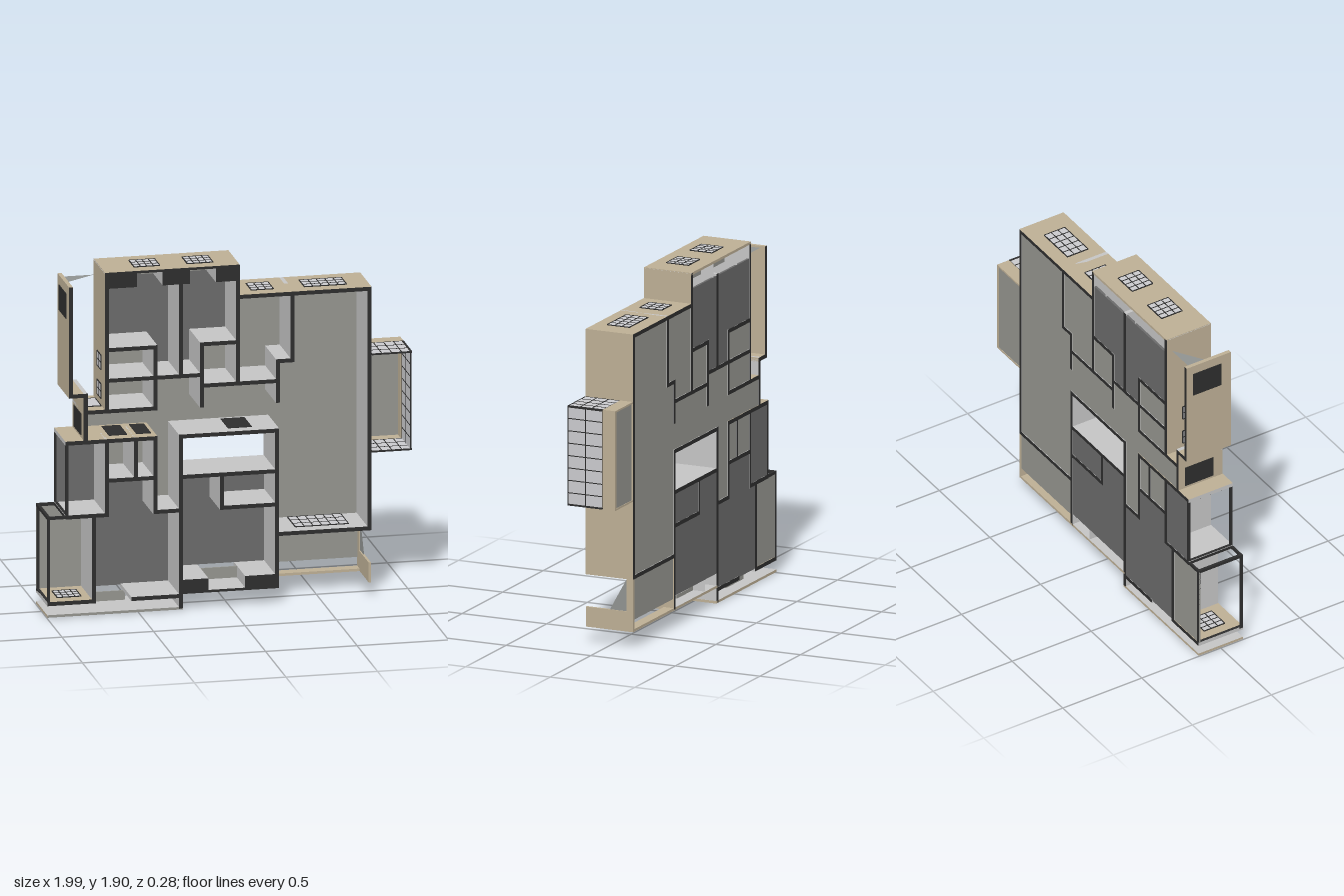
import * as THREE from 'three';

const mat = (name, color, extra = {}) => Object.assign(new THREE.MeshStandardMaterial({ color, ...extra }), { name });

export function createModel() {
  const root = new THREE.Group();
  const BEIGE = mat('beige facade', 0xbcae94);
  const INNER = mat('pale inner wall', 0xc4c4c4);
  const CAP = mat('dark cut edge', 0x2d2d2d);
  const LIGHT = mat('light floor', 0x94948e);
  const DARK = mat('dark floor', 0x6a6a6a);
  const GLASS = mat('window glass', 0xc9c9cc);
  const PANEL = mat('grey panel', 0x8f9290, { side: THREE.DoubleSide });
  const B = -0.14, T = 0.14; // back and front of the slice

  // Box from limits; mats = one material or [+x,-x,+y,-y,+z,-z], null omits a face
  function box(name, x0, x1, y0, y1, z0, z1, mats) {
    const g = new THREE.BoxGeometry(x1 - x0, y1 - y0, z1 - z0);
    g.translate((x0 + x1) / 2, (y0 + y1) / 2, (z0 + z1) / 2);
    let used = mats;
    if (Array.isArray(mats)) {
      const all = Array.from(g.index.array), keep = [];
      used = mats.filter(Boolean);
      g.clearGroups();
      mats.forEach((m, i) => {
        if (!m) return;
        g.addGroup(keep.length, 6, keep.length / 6);
        keep.push(...all.slice(i * 6, i * 6 + 6));
      });
      g.setIndex(keep);
    }
    const mesh = new THREE.Mesh(g, used);
    mesh.name = name;
    root.add(mesh);
  }

  // Wall run from (x, y): each step is the next x or y in turn, first along dir.
  // out lists the sides finished as facade: r, l, u, d
  const h = 0.011;
  function walls(out, dir, x, y, ...steps) {
    const [r, l, u, d] = [...'rlud'].map(k => (out.includes(k) ? BEIGE : INNER));
    let across = dir === 'h';
    for (const s of steps) {
      const nx = across ? s : x, ny = across ? y : s;
      box('wall', Math.min(x, nx) - h, Math.max(x, nx) + h, Math.min(y, ny) - h, Math.max(y, ny) + h,
        B, T, [r, l, u, d, CAP, CAP]);
      [x, y] = [nx, ny];
      across = !across;
    }
  }

  // Slab standing on a wall plane: axis 'x' spans y, axis 'y' spans x
  function slab(name, axis, p, t, u0, u1, z0, z1, m) {
    if (axis === 'x') box(name, p - t, p + t, u0, u1, z0, z1, m);
    else box(name, u0, u1, p - t, p + t, z0, z1, m);
  }
  function windowPane(axis, p, u0, u1, z0, z1, nu, nz) {
    slab('windowGlass', axis, p, 0.003, u0, u1, z0, z1, GLASS);
    const b = 0.0025;
    for (let i = 0; i <= nu; i++) {
      const u = u0 + (u1 - u0) * i / nu;
      slab('windowBar', axis, p, 0.0045, u - b, u + b, z0, z1, CAP);
    }
    for (let i = 0; i <= nz; i++) {
      const z = z0 + (z1 - z0) * i / nz;
      slab('windowBar', axis, p, 0.0045, u0, u1, z - b, z + b, CAP);
    }
  }

  // Light floors
  const lightFloor = (x0, x1, y0, y1) => box('lightFloor', x0, x1, y0, y1, -0.137, -0.129, LIGHT);
  lightFloor(0.26, 0.76, 0.39, 1.72);
  lightFloor(0.04, 0.26, 1.24, 1.72);
  lightFloor(-0.67, 0.26, 1.13, 1.47);
  lightFloor(-0.79, 0.26, 0.965, 1.13);
  lightFloor(-0.67, -0.27, 0.555, 0.965);
  lightFloor(-1, -0.745, 0.085, 0.555);
  lightFloor(0.27, 0.755, 0.155, 0.38);
  lightFloor(0.78, 0.985, 0.815, 1.355);

  // Dark floors, laid over the light ones
  const darkFloor = (x0, x1, y0, y1) => box('darkFloor', x0, x1, y0, y1, -0.139, -0.126, DARK);
  darkFloor(-0.67, 0.04, 1.47, 1.81);
  darkFloor(-0.41, -0.16, 1.3, 1.47);
  darkFloor(-0.89, -0.675, 0.555, 0.965);
  darkFloor(-0.745, -0.41, 0.085, 0.745);
  darkFloor(-0.41, -0.27, 0.085, 0.555);
  darkFloor(-0.27, 0.26, 0.17, 0.74);

  // Upper bedrooms
  walls('l', 'v', -0.675, 1.13, 1.885);
  walls('r', 'v', 0.042, 1.72, 1.885);
  walls('', 'v', 0.042, 1.24, 1.72);
  walls('', 'v', -0.27, 1.31, 1.81);
  walls('', 'h', -0.67, 1.47, -0.41, 1.13, -0.67);
  walls('', 'h', -0.67, 1.3, -0.155);
  walls('', 'h', 0.04, 1.47, -0.155, 1.13);
  walls('', 'h', -0.155, 1.24, 0.26);
  // Terrace screen and entrance
  walls('lrud', 'v', -0.87, 1.82, 1.225, -0.79);
  walls('l', 'v', -0.79, 1.225, 0.965);
  walls('u', 'h', -0.79, 1.13, -0.675);
  // Large living room
  walls('ur', 'h', 0.042, 1.72, 0.76, 0.39);
  walls('dr', 'h', 0.27, 0.39, 0.76);
  walls('', 'v', 0.34, 1.72, 1.35, 0.26, 1.13);
  // Rooms round the open shaft
  walls('', 'v', -0.27, 0.018, 0.965, 0.255, 0.39);
  walls('r', 'v', 0.255, 0.39, 0.103);
  walls('', 'h', -0.27, 0.74, 0.255);
  walls('', 'v', -0.045, 0.74, 0.555, 0.255);
  // Lower left rooms
  walls('u', 'h', -0.89, 0.965, -0.41);
  walls('', 'h', -0.89, 0.555, -0.675, 0.965);
  walls('', 'h', -0.675, 0.745, -0.41);
  walls('', 'v', -0.515, 0.745, 0.965);
  walls('', 'v', -0.41, 0.965, 0.555, -0.27);
  walls('', 'v', -0.745, 0.555, 0.08);
  walls('u', 'h', -0.989, 0.08, -0.745);
  walls('', 'h', -0.53, 0.08, -0.27);

  // Open-framed left sides
  function openFrame(axis, p, u0, u1) {
    const w = 0.012;
    for (const z of [B, T - w]) slab('openFrame', axis, p, 0.008, u0, u1, z, z + w, CAP);
    for (const u of [u0, u1 - w]) slab('openFrame', axis, p, 0.008, u, u + w, B, T, CAP);
  }
  openFrame('x', -0.892, 0.555, 0.965);
  openFrame('x', -0.992, 0.08, 0.563);
  openFrame('y', 0.555, -1, -0.89);

  // Hollow thick facades: outer skin, and cut edge with room face beside each window recess
  function thickFacade(x0, x1, yOut, yIn, recess, capped) {
    const up = yOut > yIn, skin = yOut + (up ? -0.014 : 0.014);
    const lo = Math.min(yOut, yIn), hi = Math.max(yOut, yIn);
    box('outerSkin', x0, x1, Math.min(yOut, skin), Math.max(yOut, skin), B, T,
      [BEIGE, BEIGE, up ? BEIGE : INNER, up ? INNER : BEIGE, capped ? CAP : LIGHT, BEIGE]);
    let x = x0;
    for (const [r0, r1] of [...recess, [x1, x1]]) {
      if (capped) box('cutEdge', x, r0, lo + 0.001, hi - 0.001, B, T + 0.001,
        [INNER, INNER, up ? null : INNER, up ? INNER : null, CAP, null]);
      if (r1 > r0) {
        box('windowSill', r0, r1, lo + 0.012, hi - 0.004, -0.068, -0.06, LIGHT);
        windowPane('y', yOut, r0, r1, -0.06, 0.07, 4, 3);
      }
      x = r1;
    }
  }
  thickFacade(-0.684, 0.051, 1.9, 1.81, [[-0.51, -0.37], [-0.22, -0.08]], true);
  thickFacade(-0.27, 0.264, 0.09, 0.17, [[-0.12, 0.08]], true);
  thickFacade(-1, -0.258, 0.005, 0.075, [[-0.74, -0.53]], false);

  // Windows and glazed doors
  windowPane('y', 1.731, 0.13, 0.25, -0.06, 0.07, 3, 3);
  windowPane('y', 1.731, 0.42, 0.65, -0.06, 0.07, 5, 3);
  windowPane('y', 0.091, -0.93, -0.8, -0.06, 0.07, 4, 3);
  windowPane('y', 1.141, -0.77, -0.69, -0.08, 0.07, 1, 1);
  for (const y of [0.401, 0.379]) windowPane('y', y, 0.37, 0.66, -0.12, 0.07, 6, 3);
  windowPane('x', 0.351, 1.5, 1.63, -0.05, 0.08, 2, 2);
  for (const y of [1.18, 1.34]) windowPane('x', -0.686, y, y + 0.08, -0.04, 0.06, 2, 2);
  windowPane('x', 0.771, 0.84, 1.33, -0.12, 0.09, 6, 3);

  // Dark doors and the screen's dark panel
  const door = (axis, p, u0, u1) => slab('door', axis, p, 0.003, u0, u1, -0.1, 0.08, CAP);
  door('y', 0.977, 0, 0.13);
  door('y', 0.977, -0.65, -0.55);
  door('y', 0.977, -0.5, -0.42);
  door('x', -0.801, 0.99, 1.11);
  door('x', -0.882, 1.64, 1.78);

  // Glazed bay over a solid plinth
  box('bayPlinth', 0.975, 0.99, 0.81, 1.36, B, -0.065, BEIGE);
  for (const y of [0.81, 1.35]) {
    box('bayPlinth', 0.772, 0.975, y, y + 0.01, B, -0.065, BEIGE);
    windowPane('y', y + 0.005, 0.772, 0.99, -0.065, T, 4, 3);
  }
  windowPane('x', 0.985, 0.812, 1.358, -0.065, T, 8, 2);

  // Lower terrace: side wall, rail and slanted panel
  box('terraceSide', 0.755, 0.768, 0.09, 0.2, B, T, BEIGE);
  box('terraceSide', 0.755, 0.768, 0.2, 0.38, B, -0.1, BEIGE);
  box('terraceRail', 0.266, 0.755, 0.09, 0.104, B, -0.08, BEIGE);
  function triangle(name, ...pts) {
    const g = new THREE.BufferGeometry().setFromPoints(pts.map(p => new THREE.Vector3(...p)));
    g.computeVertexNormals();
    const mesh = new THREE.Mesh(g, PANEL);
    mesh.name = name;
    root.add(mesh);
  }
  triangle('terracePanel', [0.762, 0.2, 0], [0.762, 0.2, -0.1], [0.762, 0.38, -0.1]);
  triangle('screenBrace', [-0.86, 1.82, 0], [-0.69, 1.82, -0.11], [-0.86, 1.82, -0.11]);

  return root;
}
